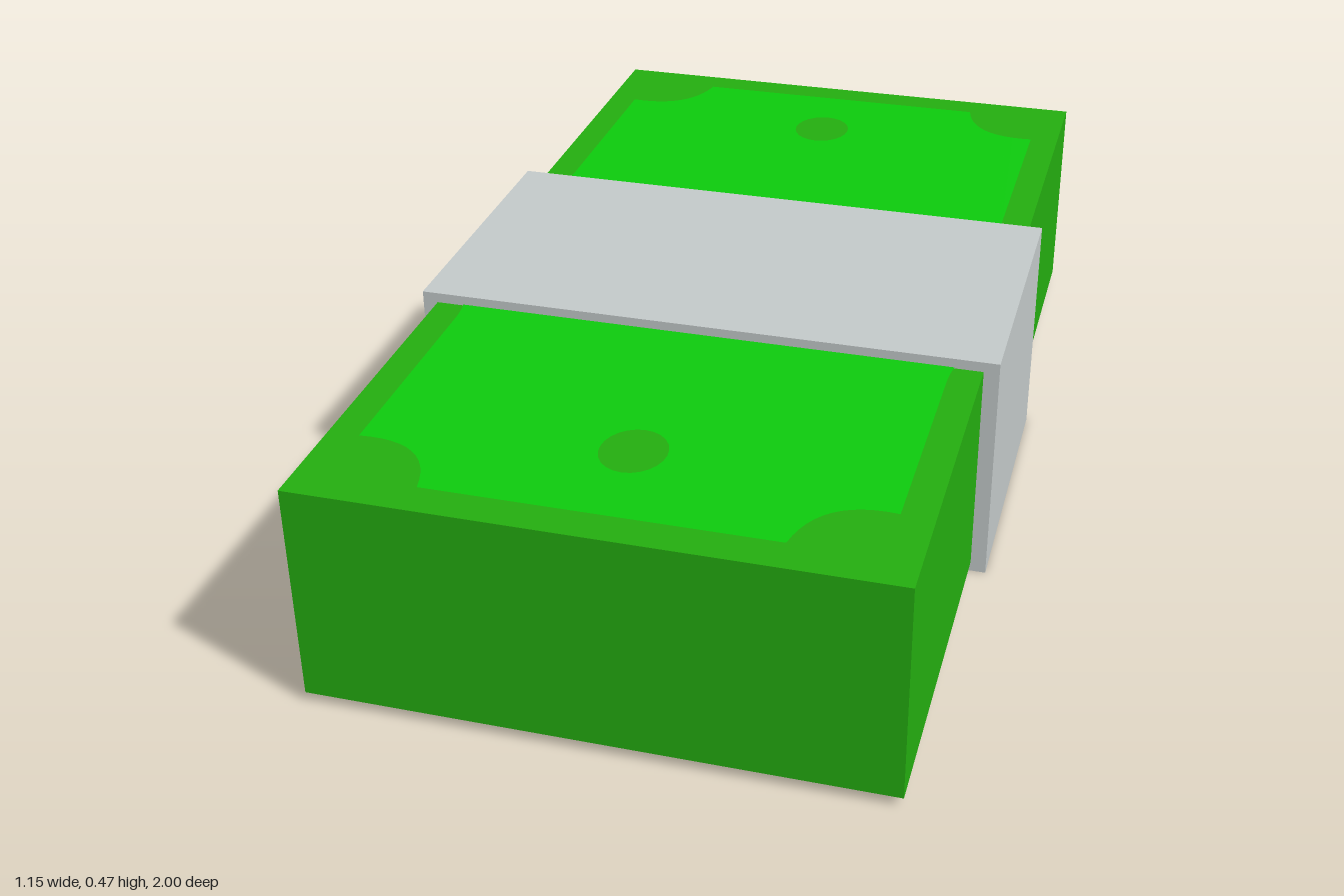
import * as THREE from 'three';

const mat = (name, color) => new THREE.MeshStandardMaterial({ name, color });

export function createModel() {
  const group = new THREE.Group();
  const darkGreen = mat('darkGreen', 0x24ad10);
  const lightGreen = mat('lightGreen', 0x0dca0d);
  const paperGrey = mat('paperGrey', 0xc3c9c9);

  const add = (name, geometry, material, parent = group) => {
    const mesh = new THREE.Mesh(geometry, material);
    mesh.name = name;
    parent.add(mesh);
    return mesh;
  };

  // Stack of notes and the paper band wrapped round it
  add('noteStack', new THREE.BoxGeometry(1.086, 0.43, 2), darkGreen).position.y = 0.235;
  add('paperBand', new THREE.BoxGeometry(1.146, 0.47, 0.6), paperGrey).position.y = 0.235;

  // Printed panel with scalloped outer corners; it runs in under the band
  const panel = new THREE.Shape();
  panel.moveTo(-0.495, 0.28);
  panel.lineTo(0.495, 0.28);
  panel.quadraticCurveTo(0.483, 0.31, 0.483, 0.36);
  panel.lineTo(0.483, 0.805);
  panel.quadraticCurveTo(0.345, 0.79, 0.32, 0.933);
  panel.lineTo(-0.32, 0.933);
  panel.quadraticCurveTo(-0.345, 0.79, -0.483, 0.805);
  panel.lineTo(-0.483, 0.36);
  panel.quadraticCurveTo(-0.483, 0.31, -0.495, 0.28);

  // Oval mark near each end
  const oval = new THREE.Shape();
  oval.absellipse(0, 0.735, 0.061, 0.071, 0, Math.PI * 2);

  const flat = (shape, y) =>
    new THREE.ShapeGeometry(shape, 12).rotateX(-Math.PI / 2).translate(0, y, 0);

  for (const [side, turn] of [['back', 0], ['front', Math.PI]]) {
    const print = new THREE.Group();
    print.name = side + 'Print';
    print.rotation.y = turn;
    add(side + 'Panel', flat(panel, 0.452), lightGreen, print);
    add(side + 'Oval', flat(oval, 0.455), darkGreen, print);
    group.add(print);
  }

  return group;
}
